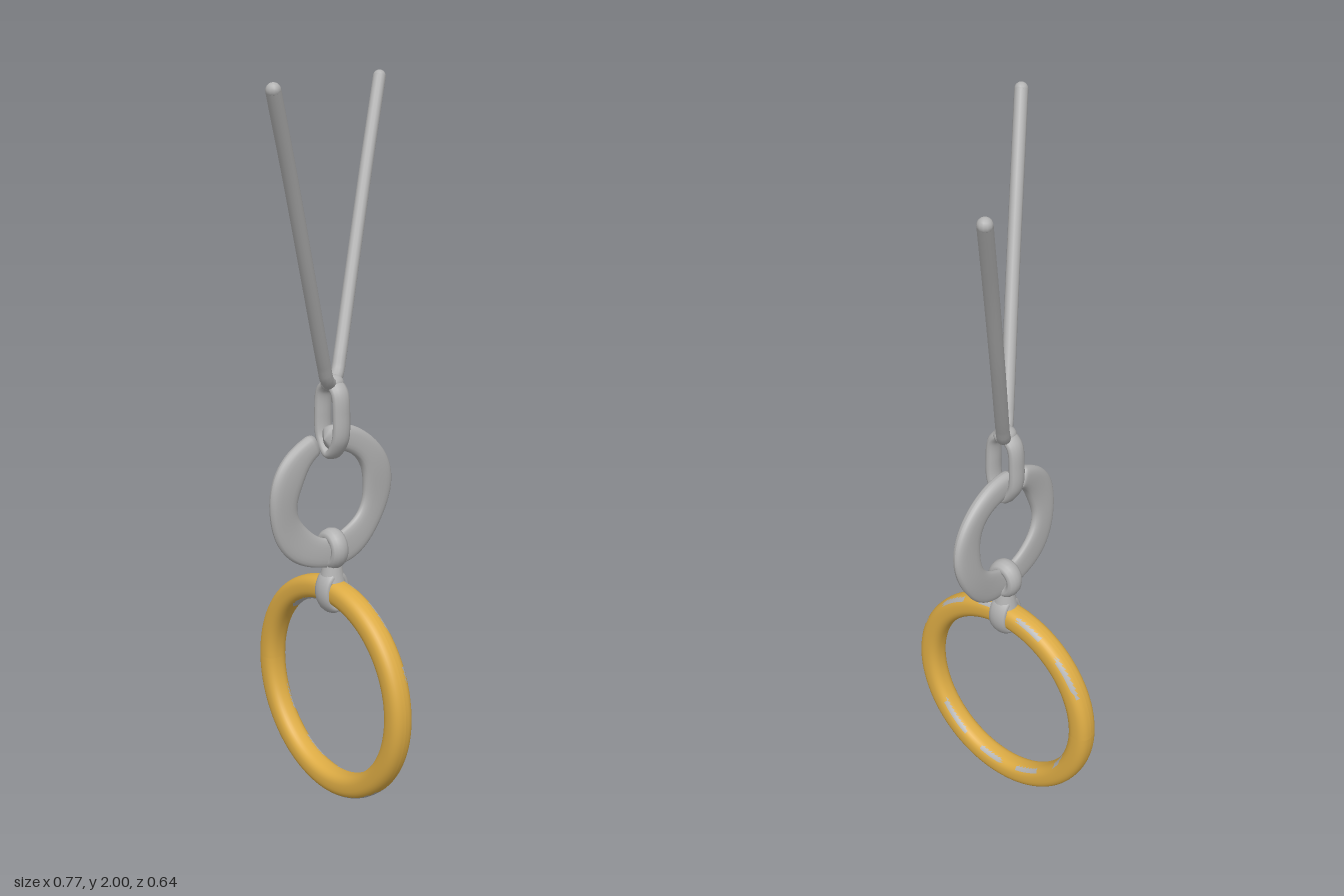
import * as THREE from 'three';

const silver = new THREE.MeshStandardMaterial({ name: 'silver grey', color: 0xb2b2b2 });
const gold = new THREE.MeshStandardMaterial({ name: 'warm gold', color: 0xdcab44 });
const V = (x, y, z) => new THREE.Vector3(x, y, z);
// Rounded-square version of a sine or cosine
const squarish = (t, power) => Math.sign(t) * Math.abs(t) ** power;

function add(parent, name, geometry, material = silver) {
  const mesh = new THREE.Mesh(geometry, material);
  mesh.name = name;
  parent.add(mesh);
  return mesh;
}

// Move every vertex of a torus by a rule of its ring position u and tube angle b
function reshape(geometry, rule) {
  const { position, uv } = geometry.attributes;
  for (let i = 0; i < position.count; i++) {
    position.setXYZ(i, ...rule(uv.getX(i), uv.getY(i) * Math.PI * 2));
  }
  geometry.computeVertexNormals();
  return geometry;
}

// Gold hoop in the YZ plane, worn to grey underneath and in streaks on top
function hoopGeometry() {
  const g = reshape(new THREE.TorusGeometry(1, 0.1, 32, 128), (u, b) => {
    const a = u * Math.PI * 2;
    const r = 0.284 + 0.034 * squarish(Math.cos(b), 0.8);
    return [0.035 * squarish(Math.sin(b), 0.8), 0.325 + 1.022 * r * Math.sin(a), -r * Math.cos(a)];
  });
  const { normal, position } = g.attributes;
  const index = g.index.array;
  const faces = [[], []];
  for (let i = 0; i < index.length; i += 3) {
    const tri = [index[i], index[i + 1], index[i + 2]];
    const mean = (get) => tri.reduce((sum, k) => sum + get(k), 0) / 3;
    const ny = mean((k) => normal.getY(k));
    const x = mean((k) => position.getX(k));
    const z = mean((k) => position.getZ(k));
    const streak = ny > 0.3 && x > 0.019 && x < 0.029 && Math.sin(45 * z) > -0.2;
    faces[ny < -0.72 || streak ? 1 : 0].push(...tri);
  }
  g.setIndex([...faces[0], ...faces[1]]);
  g.addGroup(0, faces[0].length, 0);
  g.addGroup(faces[0].length, faces[1].length, 1);
  return g;
}

// Flat split ring: wide and thin, with a narrow gap near the top
function splitRingGeometry() {
  const start = 1.85, arc = 6.14;
  return reshape(new THREE.TorusGeometry(1, 0.1, 20, 96, arc), (u, b) => {
    const a = start + u * arc;
    const up = Math.sin(a);
    const end = Math.min(1, Math.sqrt(Math.min(u, 1 - u) / 0.012));
    const half = (0.045 - 0.013 * Math.max(0, up) ** 3 + 0.003 * Math.sin(5 * a + 1)) * end;
    const r = 0.162 + 0.005 * up + half * squarish(Math.cos(b), 0.8);
    const z = (0.017 + 0.004 * up) * end * squarish(Math.sin(b), 0.7);
    return [Math.cos(a) * r - 0.003, 0.887 + up * r, z + 0.003 * Math.sin(3 * a)];
  });
}

export function createModel() {
  const model = new THREE.Group();
  model.name = 'ringPendant';

  // Cord: two straight strands meeting in a V, with rounded tips
  const cord = new THREE.Group();
  cord.name = 'cord';
  model.add(cord);
  for (const s of [-1, 1]) {
    const tip = V(0.366 * s, 1.98, -0.25 * s);
    const path = new THREE.CatmullRomCurve3([
      V(0, 1.2, 0), V(0.037 * s, 1.222, -0.025 * s), V(0.06 * s, 1.268, -0.041 * s),
      V(0.16 * s, 1.5, -0.111 * s), V(0.27 * s, 1.765, -0.185 * s), tip,
    ]);
    add(cord, 'cordStrand', new THREE.TubeGeometry(path, 60, 0.0185, 12));
    add(cord, 'cordTip', new THREE.SphereGeometry(0.0185, 12, 10)).position.copy(tip);
  }
  add(cord, 'cordKnot', new THREE.SphereGeometry(0.03, 16, 12).scale(1.1, 0.8, 1)).position.y = 1.205;

  // Upper chain link: elongated loop in the YZ plane
  const loop = [[0, 1.205], [0.031, 1.185], [0.04, 1.12], [0.034, 1.05], [0, 1.01],
    [-0.034, 1.05], [-0.04, 1.12], [-0.031, 1.185]].map(([z, y]) => V(0, y, z));
  const linkPath = new THREE.CatmullRomCurve3(loop, true);
  add(model, 'upperLink', new THREE.TubeGeometry(linkPath, 64, 0.016, 12, true).scale(1.7, 1, 1));

  // Middle split ring
  add(model, 'splitRing', splitRingGeometry());

  // Bail: loop through the split ring, neck and clasp around the hoop
  const bail = new THREE.Group();
  bail.name = 'bail';
  model.add(bail);
  add(bail, 'bailLoop', new THREE.TorusGeometry(0.034, 0.017, 12, 32).rotateY(Math.PI / 2)
    .scale(1.6, 1.15, 1)).position.y = 0.738;
  add(bail, 'bailNeck', new THREE.CylinderGeometry(0.026, 0.036, 0.05, 16)).position.y = 0.672;
  add(bail, 'bailClasp', new THREE.TorusGeometry(0.034, 0.012, 12, 32)
    .scale(1, 1.45, 2.5)).position.y = 0.616;

  // Large hoop
  add(model, 'hoop', hoopGeometry(), [gold, silver]);

  return model;
}
